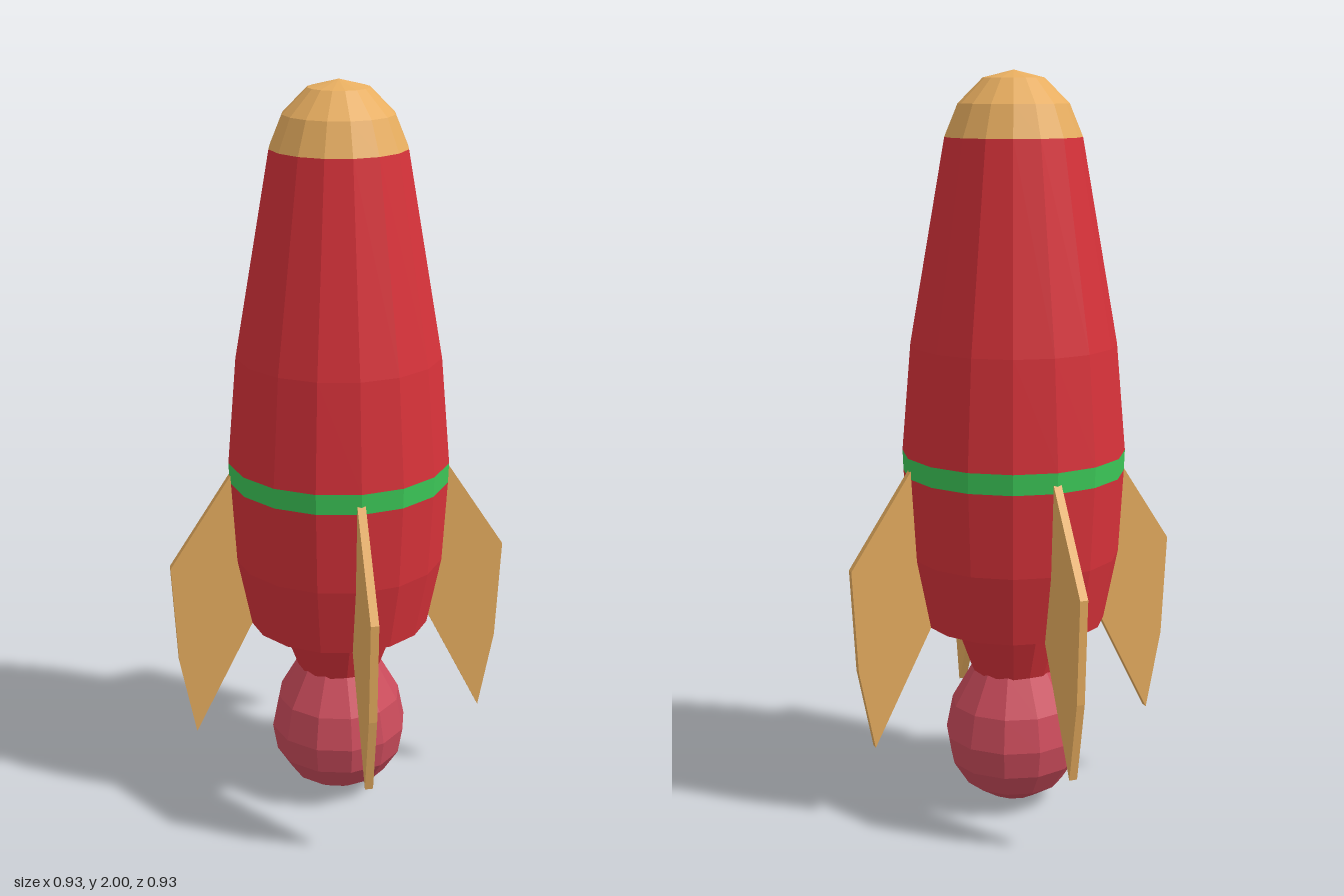
import * as THREE from 'three';

const paint = (color) => new THREE.MeshStandardMaterial({ color, flatShading: true, side: THREE.DoubleSide });

const RED = paint(0xd8323a);
const GOLD = paint(0xe8ae60);
const GREEN = paint(0x3cc858);
const PINK = paint(0xcc4c5c);

// Faceted round part from [radius, height] pairs, listed bottom to top
function turned(name, profile, material, sides = 16) {
  const points = profile.map(([r, y]) => new THREE.Vector2(r, y));
  const mesh = new THREE.Mesh(new THREE.LatheGeometry(points, sides), material);
  mesh.name = name;
  return mesh;
}

export function createModel() {
  const rocket = new THREE.Group();
  rocket.name = 'rocket';

  // Hull, stripe and nose share their seam radii
  rocket.add(
    turned('lowerHull', [[0, 0.53], [0.247, 0.53], [0.285, 0.72], [0.298, 0.945]], RED),
    turned('stripe', [[0.298, 0.945], [0.3, 1.0]], GREEN),
    turned('upperHull', [[0.3, 1.0], [0.275, 1.29], [0.18, 1.83]], RED),
    turned('noseCap', [[0.18, 1.83], [0.145, 1.915], [0.08, 1.98], [0, 2]], GOLD),
    turned('nozzle', [[0.168, 0.53], [0.115, 0.385]], RED)
  );

  // Rounded flame under the nozzle
  rocket.add(turned('flame', [
    [0, 0], [0.07, 0.02], [0.135, 0.06], [0.177, 0.125],
    [0.19, 0.2], [0.172, 0.29], [0.115, 0.39], [0, 0.39]
  ], PINK, 12));

  // Four swept fins, their inner edge following the hull
  const outline = [
    [0.295, 0.97], [0.465, 0.71], [0.45, 0.43], [0.407, 0.21], [0.245, 0.53], [0.28, 0.72]
  ].map(([x, y]) => new THREE.Vector2(x, y));
  const finGeometry = new THREE.ExtrudeGeometry(new THREE.Shape(outline), { depth: 0.022, bevelEnabled: false });
  finGeometry.translate(0, 0, -0.011);
  ['finLeft', 'finBack', 'finRight', 'finFront'].forEach((name, i) => {
    const fin = new THREE.Mesh(finGeometry, GOLD);
    fin.name = name;
    fin.rotation.y = i * Math.PI / 2;
    rocket.add(fin);
  });

  return rocket;
}
